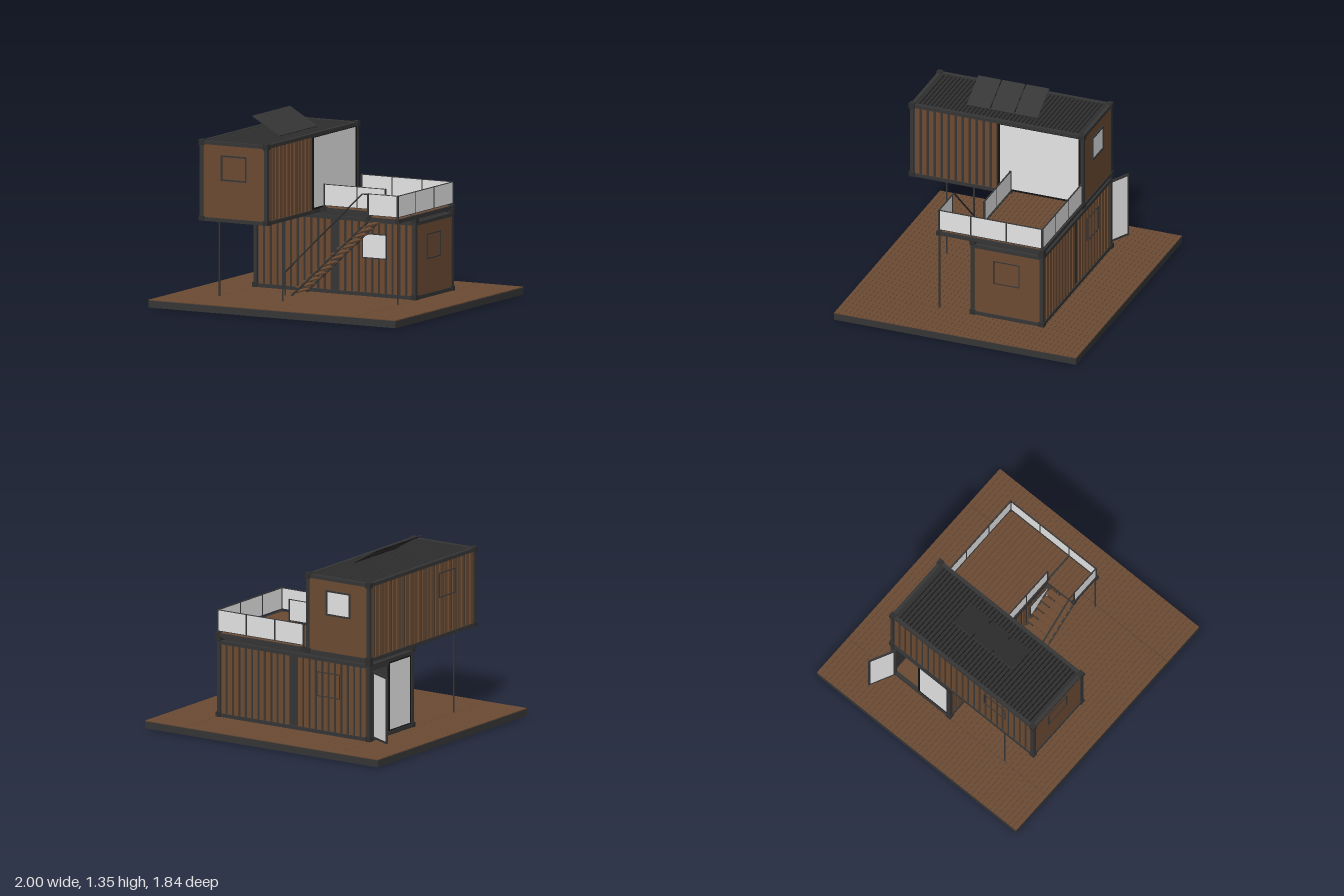
import * as THREE from 'three';

const mat = (name, color) => Object.assign(new THREE.MeshStandardMaterial({ color }), { name });
const WOOD = mat('brown wood', 0x6c4b33);
const STEEL = mat('dark steel', 0x363636);
const ROOF = mat('roof grey', 0x2f2f2f);
const GLASS = mat('pale glass', 0xe7e7e7);
const BLACK = mat('black frame', 0x141414);

// Box given by its limits on each axis
function box(parent, name, m, x0, x1, y0, y1, z0, z1) {
  const mesh = new THREE.Mesh(new THREE.BoxGeometry(Math.abs(x1 - x0), Math.abs(y1 - y0), Math.abs(z1 - z0)), m);
  mesh.position.set((x0 + x1) / 2, (y0 + y1) / 2, (z0 + z1) / 2);
  mesh.name = name;
  parent.add(mesh);
  return mesh;
}

// Box on a wall: runs a0..a1 along the given axis, p0..p1 through the wall
function wallBox(parent, name, m, axis, a0, a1, y0, y1, p0, p1) {
  return axis === 'x' ? box(parent, name, m, a0, a1, y0, y1, p0, p1)
    : box(parent, name, m, p0, p1, y0, y1, a0, a1);
}

// Four bars round a rectangle, with an optional pane inside
function frame(parent, name, m, axis, a0, a1, y0, y1, p0, p1, t, pane) {
  const g = group(parent, name);
  for (const [b0, b1, c0, c1] of [[a0, a0 + t, y0, y1], [a1 - t, a1, y0, y1],
    [a0 + t, a1 - t, y0, y0 + t], [a0 + t, a1 - t, y1 - t, y1]]) {
    wallBox(g, name + 'Bar', m, axis, b0, b1, c0, c1, p0, p1);
  }
  const mid = (p0 + p1) / 2, h = (p1 - p0) * 0.3;
  if (pane) wallBox(g, name + 'Pane', pane, axis, a0 + t, a1 - t, y0 + t, y1 - t, mid - h, mid + h);
  return g;
}

// Dark sheet with brown ribs standing out toward `out`
function corrugated(parent, name, axis, a0, a1, y0, y1, plane, out, gaps = []) {
  const g = group(parent, name);
  wallBox(g, 'wallSheet', STEEL, axis, a0, a1, y0, y1, plane - out * 0.024, plane - out * 0.016);
  const n = Math.round((a1 - a0) / 0.054), pitch = (a1 - a0) / n;
  for (let i = 0; i < n; i++) {
    const c = a0 + (i + 0.5) * pitch;
    if (gaps.some(v => Math.abs(v - c) < pitch * 0.45)) continue;
    wallBox(g, 'wallRib', WOOD, axis, c - pitch * 0.33, c + pitch * 0.33, y0, y1, plane - out * 0.018, plane - out * 0.006);
  }
}

// Round bar between two points
function bar(parent, name, m, a, b, r) {
  const p = new THREE.Vector3(...a), q = new THREE.Vector3(...b), d = q.clone().sub(p);
  const mesh = new THREE.Mesh(new THREE.CylinderGeometry(r, r, d.length(), 8), m);
  mesh.position.copy(p).add(q).multiplyScalar(0.5);
  mesh.quaternion.setFromUnitVectors(new THREE.Vector3(0, 1, 0), d.normalize());
  mesh.name = name;
  parent.add(mesh);
}

// Posts, beams and corner blocks of a container
function skeleton(parent, x0, x1, y0, y1, z0, z1, blockTop) {
  const t = 0.026, e = 0.007, s = 0.034;
  for (const [x, dx] of [[x0, 1], [x1, -1]]) {
    for (const [z, dz] of [[z0, 1], [z1, -1]]) {
      box(parent, 'cornerPost', STEEL, x, x + dx * t, y0, y1, z, z + dz * t);
      for (const [b0, b1] of [[y0, y0 + s], [blockTop - 0.04, blockTop]]) {
        box(parent, 'cornerBlock', ROOF, x - dx * e, x + dx * s, b0, b1, z - dz * e, z + dz * s);
      }
    }
  }
  for (const [b0, b1] of [[y0, y0 + t], [y1 - t, y1]]) {
    for (const z of [z0, z1 - t]) box(parent, 'longBeam', STEEL, x0, x1, b0, b1, z, z + t);
    for (const x of [x0, x1 - t]) box(parent, 'crossBeam', STEEL, x, x + t, b0, b1, z0, z1);
  }
}

// Boards running along x
function boards(parent, name, x0, x1, y0, y1, z0, z1, pitch, gap) {
  const n = Math.round((z1 - z0) / pitch), p = (z1 - z0) / n;
  for (let i = 0; i < n; i++) box(parent, name, WOOD, x0, x1, y0, y1, z0 + i * p + gap / 2, z0 + (i + 1) * p - gap / 2);
}

function group(parent, name) {
  const g = new THREE.Group();
  g.name = name;
  parent.add(g);
  return g;
}

export function createModel() {
  const model = new THREE.Group();
  model.name = 'containerHouse';

  // Ground platform with planks, and the footing of the container below it
  const ground = group(model, 'platform');
  box(ground, 'platformSlab', STEEL, -1, 1, 0.004, 0.053, -0.92, 0.92);
  for (const [a, b] of [[-1, -0.661], [-0.659, 0.655], [0.658, 1]]) {
    boards(ground, 'platformBoard', a, b, 0.055, 0.06, -0.92, 0.92, 0.035, 0.002);
  }
  for (const z of [-0.535, 0.005]) box(ground, 'footing', STEEL, -0.66, 0.66, 0, 0.005, z, z + 0.02);
  for (const x of [-0.66, 0.64]) box(ground, 'footing', STEEL, x, x + 0.02, 0, 0.005, -0.515, 0.005);

  // Lower container
  const low = group(model, 'lowerContainer');
  skeleton(low, -0.658, 0.655, 0.06, 0.615, -0.53, 0.02, 0.648);
  corrugated(low, 'lowerFrontWall', 'x', -0.63, 0.63, 0.08, 0.6, 0.02, 1, [0]);
  corrugated(low, 'lowerBackWall', 'x', -0.63, 0.63, 0.08, 0.6, -0.53, -1, [0]);
  box(low, 'lowerEndWall', WOOD, 0.635, 0.648, 0.08, 0.6, -0.51, 0);
  box(low, 'lowerRoof', ROOF, -0.64, 0.64, 0.6, 0.61, -0.51, 0);
  box(low, 'lowerFloor', WOOD, -0.64, 0.64, 0.06, 0.075, -0.51, 0);
  frame(low, 'frontWindow', STEEL, 'x', 0.22, 0.42, 0.33, 0.51, 0.004, 0.02, 0.008);
  box(low, 'frontWindowGlass', GLASS, 0.228, 0.412, 0.338, 0.502, 0.01, 0.018);
  frame(low, 'backWindow', STEEL, 'x', -0.4, -0.2, 0.33, 0.51, -0.53, -0.515, 0.006);
  frame(low, 'endWindow', STEEL, 'z', -0.35, -0.15, 0.33, 0.51, 0.64, 0.652, 0.007);

  // Glazed end with the open door
  frame(low, 'fixedGlazing', BLACK, 'z', -0.28, -0.005, 0.08, 0.59, -0.65, -0.636, 0.014, GLASS);
  box(low, 'doorLintel', STEEL, -0.65, -0.636, 0.565, 0.6, -0.51, -0.28);
  box(low, 'doorJamb', STEEL, -0.65, -0.636, 0.08, 0.6, -0.51, -0.485);
  const door = frame(low, 'openDoor', STEEL, 'x', 0, 0.207, 0.08, 0.565, -0.006, 0.006, 0.015, GLASS);
  door.position.set(-0.658, 0, -0.485);
  door.rotation.y = Math.PI - 0.464;

  // Upper container
  const up = group(model, 'upperContainer');
  skeleton(up, -0.658, -0.112, 0.634, 1.206, -0.53, 0.79, 1.213);
  box(up, 'upperFloor', STEEL, -0.64, -0.13, 0.636, 0.65, -0.51, 0.77);
  corrugated(up, 'upperLeftWall', 'z', 0.125, 0.765, 0.655, 1.185, -0.112, 1);
  corrugated(up, 'upperRightWall', 'z', -0.505, 0.765, 0.655, 1.185, -0.658, -1);
  frame(up, 'sideWindow', STEEL, 'z', 0.33, 0.53, 0.93, 1.11, -0.658, -0.643, 0.006);
  frame(up, 'terraceGlazing', BLACK, 'z', -0.505, 0.125, 0.658, 1.19, -0.132, -0.115, 0.016, GLASS);
  for (const [s, z] of [[1, 0.79], [-1, -0.53]]) {
    box(up, 'upperEndWall', WOOD, -0.635, -0.135, 0.655, 1.185, z - s * 0.02, z - s * 0.007);
    frame(up, 'upperEndWindow', STEEL, 'x', -0.49, -0.282, 0.928, 1.11, z - 0.012 - s * 0.009, z + 0.007 - s * 0.009, 0.011);
  }
  box(up, 'backWindowGlass', GLASS, -0.479, -0.293, 0.939, 1.099, -0.526, -0.52);

  // Ribbed roof
  box(up, 'upperRoof', BLACK, -0.635, -0.135, 1.18, 1.19, -0.51, 0.765);
  for (const [a, b] of [[-0.51, -0.47], [0.735, 0.77]]) box(up, 'roofEdge', ROOF, -0.635, -0.135, 1.188, 1.203, a, b);
  for (let i = 0; i < 40; i++) {
    const z = -0.462 + i * 0.0299;
    box(up, 'roofRib', ROOF, -0.635, -0.135, 1.188, 1.203, z, z + 0.021);
  }

  // Tilted solar panels on two rails
  const solar = group(model, 'solarPanels');
  for (let i = 0; i < 3; i++) {
    const z = -0.134 + i * 0.183;
    box(solar, 'solarPanel', STEEL, -0.128, 0.128, -0.003, 0.003, z, z + 0.174);
  }
  for (const x of [-0.1, 0.1]) box(solar, 'panelRail', BLACK, x - 0.006, x + 0.006, -0.008, -0.003, -0.12, 0.4);
  solar.position.set(-0.338, 1.28, 0);
  solar.rotation.z = -0.517;
  for (const z of [-0.12, 0.14, 0.37]) box(model, 'panelFoot', STEEL, -0.24, -0.23, 1.2, 1.218, z, z + 0.012);

  // Slim posts under the overhang and the landing
  for (const [x, z, top] of [[-0.65, 0.52, 0.64], [-0.137, 0.52, 0.64], [0.647, 0.26, 0.65]]) {
    bar(model, 'supportPost', STEEL, [x, 0.06, z], [x, top, z], 0.006);
  }

  // Roof terrace and stair landing
  const terrace = group(model, 'terrace');
  boards(terrace, 'terraceBoard', -0.11, 0.65, 0.652, 0.664, -0.52, 0.02, 0.036, 0.0025);
  boards(terrace, 'landingBoard', 0.4, 0.65, 0.652, 0.664, 0.02, 0.265, 0.036, 0.0025);
  for (const z of [-0.53, 0.01]) box(terrace, 'terraceBeam', STEEL, -0.11, 0.655, 0.638, 0.666, z, z + 0.014);
  box(terrace, 'sideBeam', STEEL, 0.643, 0.657, 0.638, 0.666, -0.53, 0.27);
  box(terrace, 'landingBeam', STEEL, 0.4, 0.655, 0.638, 0.666, 0.257, 0.271);
  box(terrace, 'landingEdge', STEEL, 0.396, 0.408, 0.638, 0.66, 0.01, 0.27);
  for (let i = 0; i < 9; i++) {
    const x = -0.08 + i * 0.088;
    box(terrace, 'terraceJoist', STEEL, x, x + 0.012, 0.638, 0.652, -0.52, x > 0.4 ? 0.26 : 0.015);
  }

  // Glass railings: axis, plane, then the panel ends
  const rails = group(model, 'railings');
  for (const [axis, p, ends] of [['x', 0.016, [-0.085, 0.18, 0.41]], ['x', 0.263, [0.41, 0.65]],
    ['x', -0.522, [-0.085, 0.16, 0.405, 0.65]], ['z', 0.649, [-0.522, -0.25, 0.02, 0.263]]]) {
    for (let i = 0; i + 1 < ends.length; i++) {
      frame(rails, 'railingPanel', STEEL, axis, ends[i], ends[i + 1], 0.68, 0.835, p - 0.005, p + 0.005, 0.004, GLASS);
    }
    for (const a of [ends[0], ends[ends.length - 1]]) {
      wallBox(rails, 'railingPost', STEEL, axis, a - 0.005, a + 0.005, 0.64, 0.836, p - 0.007, p + 0.007);
      wallBox(rails, 'railingFoot', ROOF, axis, a - 0.016, a + 0.016, 0.64, 0.67, p - 0.014, p + 0.014);
    }
  }

  // Open stair with sloped stringers and handrail
  const stairs = group(model, 'stairs');
  for (let i = 0; i < 13; i++) {
    const x = -0.2 + i * 0.0475, y = 0.088 + i * 0.0427;
    box(stairs, 'tread', WOOD, x - 0.024, x + 0.022, y - 0.009, y, 0.052, 0.269);
  }
  for (const z of [0.055, 0.265]) {
    const s = box(stairs, 'stringer', STEEL, -0.422, 0.422, -0.006, 0.006, -0.006, 0.006);
    s.position.set(0.098, 0.347, z);
    s.rotation.z = Math.atan2(0.575, 0.62);
  }
  bar(stairs, 'handrail', STEEL, [-0.26, 0.23, 0.265], [0.362, 0.829, 0.265], 0.006);
  bar(stairs, 'handrailPost', STEEL, [-0.26, 0.06, 0.265], [-0.26, 0.232, 0.265], 0.006);
  bar(stairs, 'handrailEnd', STEEL, [0.362, 0.829, 0.265], [0.41, 0.829, 0.265], 0.005);

  return model;
}
